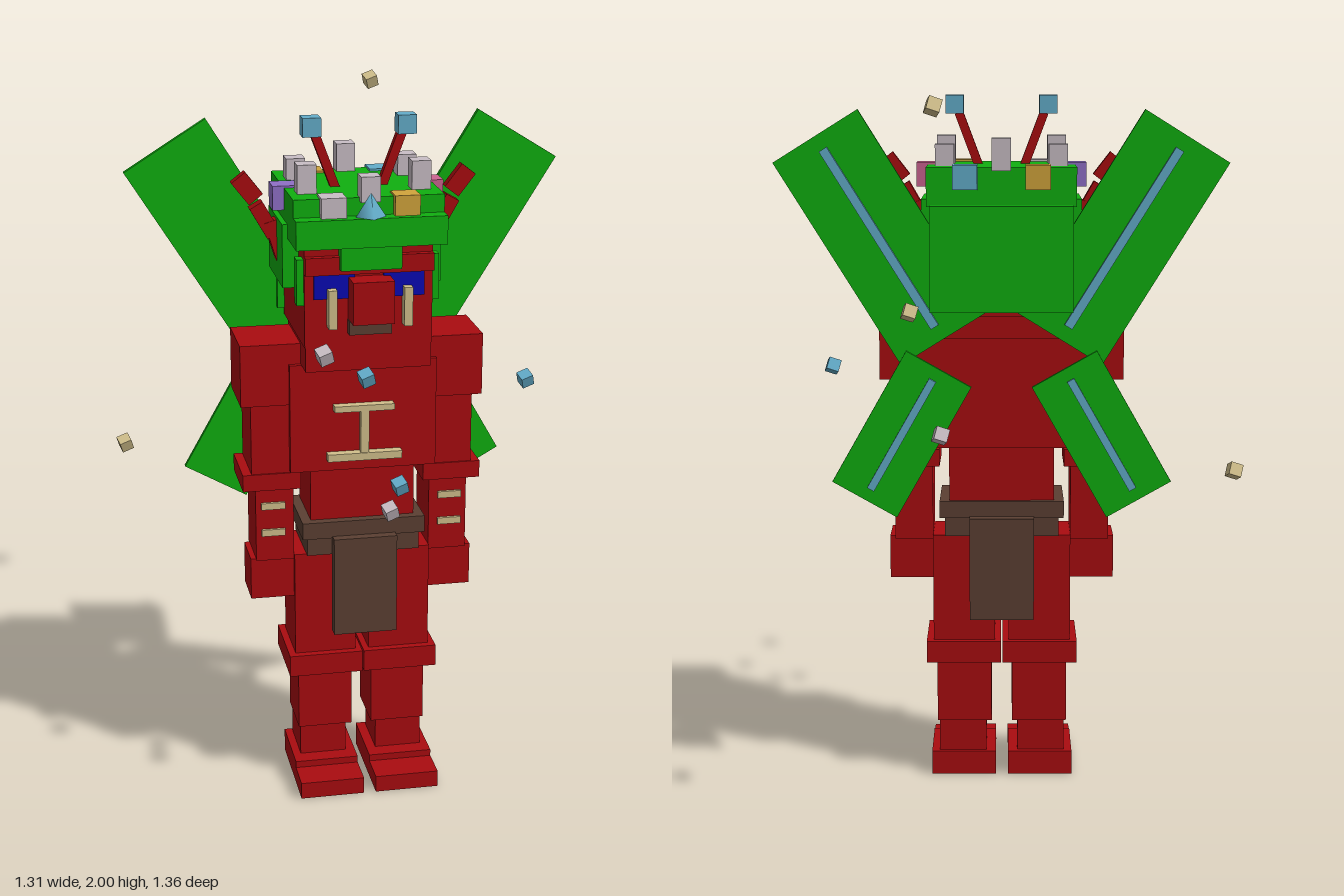
import * as THREE from 'three';

const mat = (name, color) => Object.assign(new THREE.MeshStandardMaterial({ color }), { name });

export function createModel() {
  const red = mat('red armor', 0xaa0c10), green = mat('green', 0x10b010), brown = mat('brown leather', 0x5c4033);
  const bone = mat('bone', 0xd2c08c), blue = mat('eye blue', 0x0a0ab4), gold = mat('gold', 0xd2a53c);
  const purple = mat('purple', 0x9070c8), pink = mat('pink', 0xcc6490), pale = mat('pale quartz', 0xcabfc6);
  const sky = mat('sky blue', 0x64aecb);

  const model = new THREE.Group();
  model.name = 'armoredFigure';
  const body = new THREE.Group();
  body.name = 'figure';
  body.position.x = 0.017;
  model.add(body);

  // box from its min and max on each axis
  const box = (name, m, x0, x1, y0, y1, z0, z1, parent = body) => {
    const mesh = new THREE.Mesh(new THREE.BoxGeometry(x1 - x0, y1 - y0, z1 - z0), m);
    mesh.position.set((x0 + x1) / 2, (y0 + y1) / 2, (z0 + z1) / 2);
    mesh.name = name;
    parent.add(mesh);
    return mesh;
  };
  // the same box on both sides
  const pair = (name, m, x0, x1, ...rest) => {
    box(name + 'Left', m, x0, x1, ...rest);
    box(name + 'Right', m, -x1, -x0, ...rest);
  };
  // tilted boxes on both sides; tilt leans the top outward
  const tilted = (name, m, x, y, z, w, h, d, tilt) => {
    for (const s of [1, -1]) {
      const mesh = box(name + (s > 0 ? 'Left' : 'Right'), m, -w / 2, w / 2, -h / 2, h / 2, -d / 2, d / 2);
      mesh.position.set(s * x, y, z);
      mesh.rotation.z = -s * tilt;
    }
  };

  // legs
  pair('toe', red, 0.018, 0.207, 0, 0.05, 0.1, 0.24);
  pair('foot', red, 0.018, 0.207, 0, 0.07, -0.075, 0.14);
  pair('ankle', red, 0.046, 0.184, 0.07, 0.165, -0.06, 0.09);
  pair('shin', red, 0.03, 0.19, 0.165, 0.35, -0.07, 0.1);
  pair('knee', red, 0.002, 0.22, 0.35, 0.415, -0.1, 0.133);
  pair('thigh', red, 0.02, 0.2, 0.415, 0.73, -0.08, 0.11);

  // torso
  box('pelvis', red, -0.152, 0.152, 0.68, 0.8, -0.08, 0.105);
  box('waist', red, -0.152, 0.152, 0.8, 1.0, -0.085, 0.11);
  box('chest', red, -0.212, 0.212, 0.99, 1.31, -0.09, 0.125);
  box('belt', brown, -0.18, 0.18, 0.785, 0.835, -0.1, 0.137);
  box('lowerBelt', brown, -0.165, 0.165, 0.73, 0.785, -0.09, 0.125);
  box('frontCloth', brown, -0.093, 0.093, 0.49, 0.79, 0.125, 0.165);
  box('backCloth', brown, -0.093, 0.093, 0.49, 0.79, -0.135, -0.09);
  box('chestTrimTop', bone, -0.088, 0.085, 1.172, 1.19, 0.12, 0.153);
  box('chestTrimMiddle', bone, -0.012, 0.012, 1.04, 1.18, 0.12, 0.15);
  box('chestTrimBottom', bone, -0.108, 0.108, 1.025, 1.047, 0.12, 0.153);

  // arms
  pair('shoulder', red, 0.165, 0.35, 1.19, 1.37, -0.09, 0.11);
  pair('upperArm', red, 0.19, 0.322, 0.985, 1.19, -0.08, 0.105);
  pair('elbowBand', red, 0.18, 0.348, 0.935, 0.985, -0.085, 0.11);
  pair('forearm', red, 0.2, 0.311, 0.715, 0.935, -0.06, 0.1);
  pair('hand', red, 0.19, 0.327, 0.595, 0.72, -0.04, 0.095);
  for (const y of [0.875, 0.793]) pair('armStripe', bone, 0.226, 0.295, y, y + 0.02, 0.095, 0.109);

  // head and face
  box('jaw', red, -0.178, 0.178, 1.31, 1.42, -0.11, 0.195);
  box('head', red, -0.18, 0.18, 1.38, 1.7, -0.165, 0.195);
  box('brow', red, -0.18, 0.18, 1.59, 1.64, 0.19, 0.215);
  box('nose', red, -0.058, 0.058, 1.46, 1.58, 0.19, 0.27);
  box('mouth', brown, -0.06, 0.06, 1.42, 1.46, 0.19, 0.225);
  pair('eye', blue, 0.04, 0.155, 1.52, 1.59, 0.195, 0.204);
  pair('tusk', bone, 0.094, 0.118, 1.44, 1.55, 0.195, 0.23);

  // helmet
  box('helmetTop', green, -0.21, 0.21, 1.69, 1.8, -0.19, 0.2);
  box('visor', green, -0.21, 0.21, 1.67, 1.75, 0.1, 0.245);
  box('visorCentre', green, -0.085, 0.085, 1.605, 1.68, 0.19, 0.235);
  box('helmetBack', green, -0.2, 0.2, 1.4, 1.695, -0.24, -0.16);
  pair('helmetSide', green, 0.17, 0.225, 1.53, 1.71, -0.15, 0.1);
  pair('cheekGuard', green, 0.17, 0.2, 1.5, 1.63, 0.145, 0.185);

  // crown posts: x, z, top
  for (const [x, z, top] of [[0, -0.17, 1.88], [0, 0.195, 1.86], [0.16, -0.083, 1.86], [-0.16, -0.083, 1.86],
    [0.16, 0.105, 1.88], [-0.16, 0.105, 1.88]])
    box('crownPost', pale, x - 0.027, x + 0.027, 1.79, top, z - 0.027, z + 0.027);

  // crown gems: colour, x, z
  for (const [m, x, z] of [[gold, -0.102, -0.168], [sky, 0.102, -0.168], [purple, -0.207, 0.01],
    [pink, 0.207, 0.01], [pale, -0.102, 0.19], [gold, 0.102, 0.19]])
    box('crownGem', m, x - 0.035, x + 0.035, 1.738, 1.806, z - 0.035, z + 0.035);
  const point = new THREE.Mesh(new THREE.ConeGeometry(0.042, 0.065, 4), sky);
  point.name = 'crownPoint';
  point.position.set(0, 1.783, 0.222);
  body.add(point);

  // antennae and side horns
  tilted('antenna', red, 0.092, 1.865, 0.04, 0.025, 0.17, 0.025, 0.36);
  pair('antennaTip', sky, 0.108, 0.16, 1.942, 1.995, 0.015, 0.066);
  tilted('hornBase', red, 0.222, 1.64, -0.02, 0.04, 0.12, 0.045, 0.3);
  tilted('hornMiddle', red, 0.257, 1.7, -0.02, 0.042, 0.1, 0.04, 0.52);
  tilted('hornTip', red, 0.305, 1.79, -0.025, 0.05, 0.08, 0.03, 0.66);

  // wings with a central vein on the back
  tilted('upperWing', green, 0.34, 1.603, -0.187, 0.278, 0.665, 0.018, 0.555);
  tilted('upperWingVein', sky, 0.34, 1.603, -0.203, 0.025, 0.58, 0.016, 0.555);
  tilted('lowerWing', green, 0.283, 1.05, -0.198, 0.21, 0.43, 0.016, Math.PI - 0.517);
  tilted('lowerWingVein', sky, 0.283, 1.05, -0.209, 0.022, 0.36, 0.012, Math.PI - 0.517);

  // floating motes around the figure
  for (const [m, x, y, z] of [[pale, -0.19, 1.5, 0.655], [bone, 0.19, 1.975, -0.655], [sky, -0.038, 1.365, 0.44],
    [sky, 0.512, 1.21, 0.053], [sky, 0.062, 1.04, 0.413], [pale, 0.024, 0.99, 0.467], [bone, -0.632, 0.965, -0.298],
    [bone, 0.268, 1.415, -0.355], [pale, 0.177, 1.12, -0.605]]) {
    const mote = box('floatingMote', m, -0.018, 0.018, -0.018, 0.018, -0.018, 0.018, model);
    mote.position.set(x, y, z);
    mote.rotation.set(0.4, 0.25, 0.25);
  }
  return model;
}
